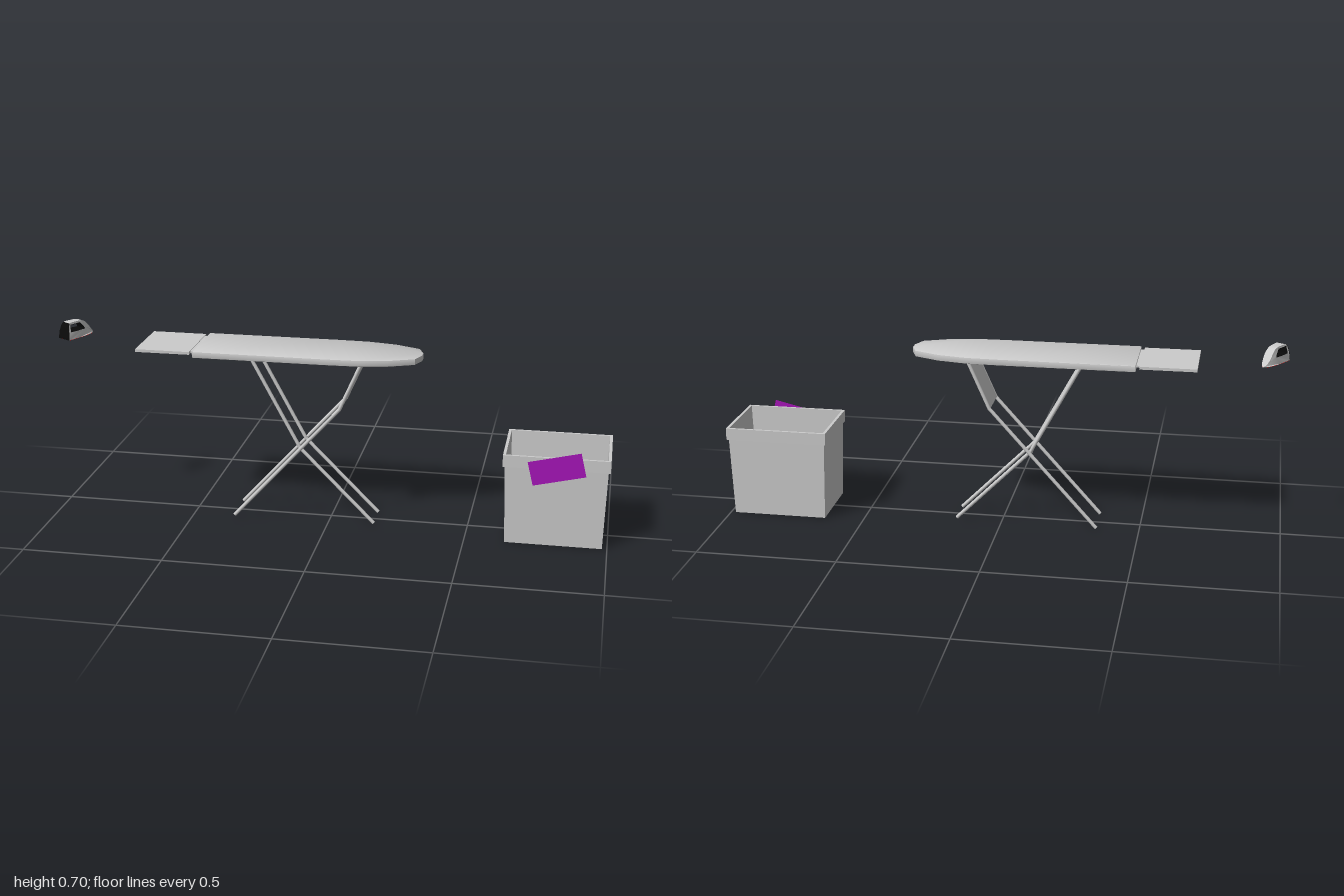
import * as THREE from 'three';
import { toCreasedNormals } from 'three/addons/utils/BufferGeometryUtils.js';

const mat = (color) => new THREE.MeshStandardMaterial({ color, side: THREE.DoubleSide });
const grey = mat(0xcccccc), black = mat(0x0a0a0a), red = mat(0xcc1111);
const blue = mat(0x1414cc), purple = mat(0xa615b8);

function add(parent, name, geometry, material = grey) {
  const mesh = new THREE.Mesh(geometry, material);
  mesh.name = name;
  parent.add(mesh);
  return mesh;
}

function box(parent, name, [x0, x1], [y0, y1], halfZ) {
  const mesh = add(parent, name, new THREE.BoxGeometry(x1 - x0, y1 - y0, 2 * halfZ));
  mesh.position.set((x0 + x1) / 2, (y0 + y1) / 2, 0);
  return mesh;
}

// Round bar between two points in the xy plane at depth z
function bar(parent, name, [x0, y0], [x1, y1], z, r = 0.0065) {
  const a = new THREE.Vector3(x0, y0, z), b = new THREE.Vector3(x1, y1, z);
  const mesh = add(parent, name, new THREE.CylinderGeometry(r, r, a.distanceTo(b), 12));
  mesh.position.copy(a).lerp(b, 0.5);
  mesh.quaternion.setFromUnitVectors(new THREE.Vector3(0, 1, 0), b.sub(a).normalize());
}

const toShape = (pts) => new THREE.Shape(pts.map(([x, y]) => new THREE.Vector2(x, y)));

function createBoard() {
  const group = new THREE.Group();
  group.name = 'ironingBoard';

  // Padded top, tapering to a blunt nose
  const side = [[-0.475, 0.122], [0, 0.122], [0.115, 0.119], [0.216, 0.1], [0.305, 0.062], [0.324, 0.014]];
  const outline = [...side.map(([x, z]) => [x, -z]), ...side.slice().reverse()];
  const top = new THREE.ExtrudeGeometry(toShape(outline), {
    depth: 0.016, bevelThickness: 0.003, bevelSize: 0.002, bevelSegments: 2,
  });
  top.rotateX(-Math.PI / 2).translate(0, 0.617, 0);
  add(group, 'boardTop', toCreasedNormals(top, 0.7));

  // Iron rest at the square end
  box(group, 'ironRest', [-0.687, -0.489], [0.623, 0.633], 0.118);
  box(group, 'restBracket', [-0.492, -0.47], [0.624, 0.631], 0.1);

  // Crossed legs
  for (const s of [1, -1]) {
    bar(group, 'innerLegUpper', [-0.288, 0.617], [-0.104, 0.276], s * 0.0535);
    bar(group, 'innerLegLower', [-0.107, 0.279], [0.165, 0.006], s * 0.0535);
    bar(group, 'outerLegUpper', [0.122, 0.617], [0.041, 0.436], s * 0.0695);
    bar(group, 'outerLegLower', [0.043, 0.438], [-0.347, 0.006], s * 0.0695);
  }

  // Slanted plate between the upper outer legs
  const plate = add(group, 'legPlate', new THREE.BoxGeometry(0.01, 0.198, 0.14));
  plate.position.set(0.0815, 0.5265, 0);
  plate.rotation.z = -Math.atan2(0.081, 0.181);
  return group;
}

// Faceted solid from rectangular rings [halfX, halfZ, y]
function ringSolid(rings) {
  const corners = [[1, 1], [1, -1], [-1, -1], [-1, 1]];
  const pos = [];
  for (let i = 0; i < rings.length - 1; i++) {
    for (let k = 0; k < 4; k++) {
      const p = (j, c) => [corners[c % 4][0] * rings[j][0], rings[j][2], corners[c % 4][1] * rings[j][1]];
      const a = p(i, k), b = p(i, k + 1), c = p(i + 1, k + 1), d = p(i + 1, k);
      pos.push(...a, ...b, ...c, ...a, ...c, ...d);
    }
  }
  const geometry = new THREE.BufferGeometry();
  geometry.setAttribute('position', new THREE.Float32BufferAttribute(pos, 3));
  geometry.computeVertexNormals();
  return geometry;
}

function createBasket() {
  const group = new THREE.Group();
  group.name = 'laundryBasket';
  group.position.set(0.8125, 0, -0.001);

  // Tapered tub with a thicker rim and hollow inside
  add(group, 'tub', ringSolid([
    [0, 0, 0], [0.17, 0.126, 0], [0.178, 0.132, 0.287], [0.185, 0.138, 0.287], [0.185, 0.138, 0.33],
    [0.175, 0.129, 0.33], [0.165, 0.121, 0.01], [0, 0, 0.01],
  ]));

  // Laundry surface inside
  const laundry = add(group, 'laundry', new THREE.PlaneGeometry(0.342, 0.252), blue);
  laundry.rotation.x = -Math.PI / 2;
  laundry.position.y = 0.2;

  // Cloth hanging over the front rim
  const cloth = add(group, 'cloth', new THREE.PlaneGeometry(0.187, 0.088), purple);
  cloth.position.set(0.002, 0.29, 0.14);
  cloth.rotation.z = 0.235;
  return group;
}

function createIron() {
  const L = 0.135, H = 0.06;
  const group = new THREE.Group();
  group.name = 'iron';
  group.position.set(-0.973, 0.636, 0.052);
  group.rotation.y = Math.PI / 3;

  // Side profile extruded across, then narrowed toward the nose and the top
  const slab = (pts, hole, widen = 1) => {
    const shape = toShape(pts);
    if (hole) shape.holes.push(toShape(hole));
    const geometry = new THREE.ExtrudeGeometry(shape, { depth: 2, steps: 6, bevelEnabled: false });
    const p = geometry.attributes.position;
    for (let i = 0; i < p.count; i++) {
      const t = Math.min(1, Math.max(0, p.getX(i) / L)), h = Math.max(0, p.getY(i) / H);
      const half = 0.027 * Math.sqrt(1.0005 - t * t) * (1 - 0.4 * h * h) * widen;
      p.setZ(i, (p.getZ(i) - 1) * half);
    }
    return toCreasedNormals(geometry, 0.6);
  };

  const back = [[0, 0], [0.004, 0.028], [0.009, 0.05], [0.015, 0.058]];
  const crown = new THREE.SplineCurve([
    [0.022, 0.06], [0.065, 0.059], [0.085, 0.053], [0.102, 0.037], [0.117, 0.018], [L, 0],
  ].map(([x, y]) => new THREE.Vector2(x, y))).getPoints(20).map((v) => [v.x, v.y]);
  const baseline = Array.from({ length: 11 }, (_, i) => [L * (1 - (i + 1) / 12), 0]);
  const hole = [[0.013, 0.027], [0.05, 0.026], [0.083, 0.026], [0.078, 0.037], [0.063, 0.053], [0.016, 0.053]];
  const liner = hole.map(([x, y]) => [0.046 + (x - 0.046) * 0.93, 0.04 + (y - 0.04) * 0.88]);

  add(group, 'body', slab([...back, ...crown, ...baseline], hole));
  add(group, 'handleLining', slab(hole, liner), black);

  // Dark heel and coloured sole
  const heel = [...back, ...back.slice().reverse().map(([x, y]) => [x - 0.002, y])];
  add(group, 'heel', slab(heel, null, 1.02), black);
  const sole = [[0, 0], ...baseline.slice().reverse(), [L, 0]];
  add(group, 'sole', slab([...sole, ...sole.slice().reverse().map(([x]) => [x, -0.001])]), red);
  return group;
}

export function createModel() {
  const model = new THREE.Group();
  model.name = 'ironingSet';
  model.add(createBoard(), createBasket(), createIron());
  return model;
}
